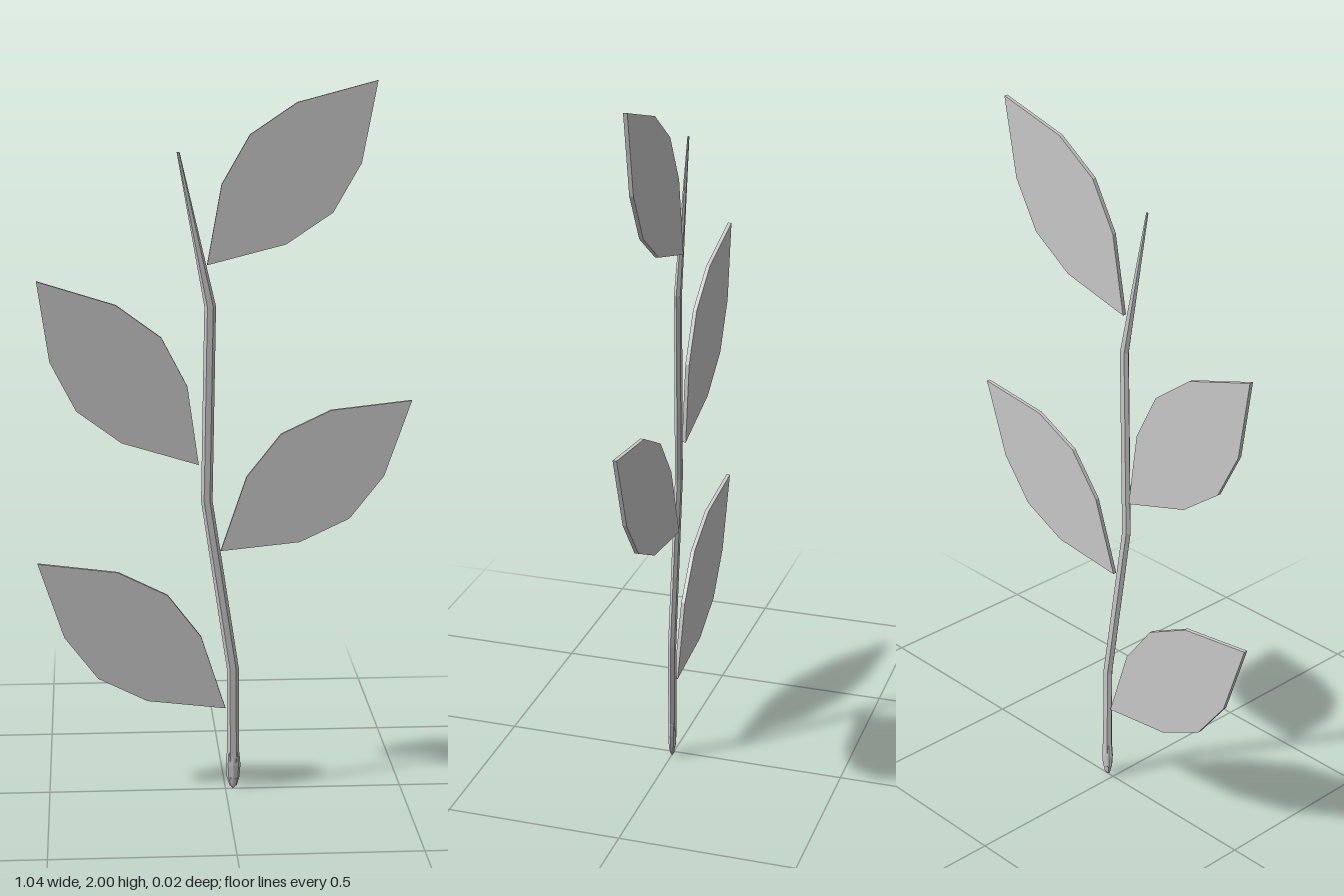
import * as THREE from 'three';

const material = new THREE.MeshStandardMaterial({ color: 0xcccccc, flatShading: true });

// Leaf blade along +y from its base: a flat eight-cornered outline with thickness
function leafGeometry() {
  const side = [[0.12, 0.187], [0.155, 0.337], [0.12, 0.487]];
  const outline = [[0, 0], ...side, [0, 0.678], ...side.map(([x, y]) => [-x, y]).reverse()];
  const shape = new THREE.Shape(outline.map(([x, y]) => new THREE.Vector2(x, y)));
  return new THREE.ExtrudeGeometry(shape, { depth: 0.011, bevelEnabled: false });
}

// Stem: a six-sided cylinder whose rings are moved along a bent, tapering path
function stemGeometry() {
  // x, y, z, radius
  const rings = [
    [0.022, 0.03, -0.002, 0.014],
    [0.022, 0.1, -0.002, 0.017],
    [0.021, 0.357, -0.001, 0.017],
    [-0.052, 0.845, 0.002, 0.016],
    [-0.042, 1.39, 0.002, 0.016],
    [-0.128, 1.81, 0, 0.004],
  ];
  const n = rings.length - 1;
  const geometry = new THREE.CylinderGeometry(1, 1, 1, 6, n);
  geometry.rotateY(Math.PI / 6);
  const p = geometry.attributes.position;
  for (let i = 0; i < p.count; i++) {
    const [x, y, z, r] = rings[Math.round((p.getY(i) + 0.5) * n)];
    p.setXYZ(i, x + p.getX(i) * r, y, z + p.getZ(i) * r * 0.65);
  }
  geometry.computeVertexNormals();
  return geometry;
}

export function createModel() {
  const group = new THREE.Group();
  const add = (name, geometry) => {
    const mesh = new THREE.Mesh(geometry, material);
    mesh.name = name;
    group.add(mesh);
    return mesh;
  };

  add('stem', stemGeometry());

  // Swollen rounded foot of the stem
  const foot = add('stemFoot', new THREE.SphereGeometry(1, 8, 6));
  foot.scale.set(0.021, 0.07, 0.011);
  foot.position.set(0.022, 0.07, -0.002);

  // Alternating leaves: base point and tip point
  const leaf = leafGeometry();
  [
    ['lowerRightLeaf', 0, 0.24, -0.524, 0.67],
    ['lowerLeftLeaf', -0.013, 0.7, 0.518, 1.122],
    ['upperRightLeaf', -0.074, 0.947, -0.516, 1.463],
    ['upperLeftLeaf', -0.05, 1.503, 0.413, 2.0],
  ].forEach(([name, x, y, tipX, tipY]) => {
    const mesh = add(name, leaf);
    mesh.position.set(x, y, -0.011);
    mesh.rotation.z = Math.atan2(x - tipX, tipY - y);
  });

  return group;
}
